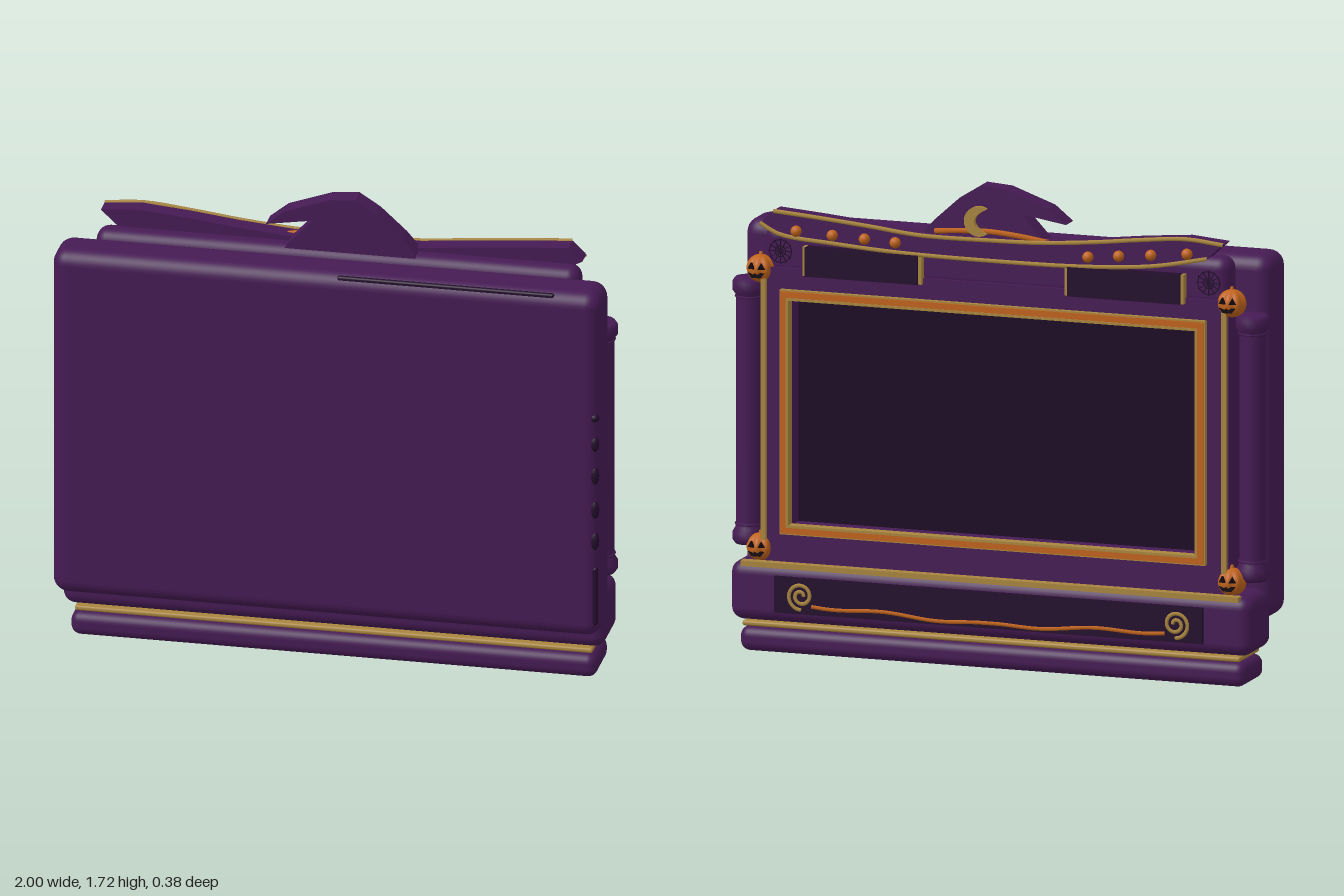
import * as THREE from 'three';
import { RoundedBoxGeometry } from 'three/addons/geometries/RoundedBoxGeometry.js';

const material = (name, color) => {
  const m = new THREE.MeshStandardMaterial({ color });
  m.name = name;
  return m;
};

export function createModel() {
  const group = new THREE.Group();
  const purple = material('purple', 0x461b54);
  const deep = material('deep purple', 0x230d2c);
  const dark = material('screen dark', 0x1b0823);
  const gold = material('gold', 0xa8853e);
  const orange = material('orange', 0xbf631b);
  const black = material('black', 0x100810);

  const add = (name, geo, mat, x = 0, y = 0, z = 0, parent = group) => {
    const mesh = new THREE.Mesh(geo, mat);
    mesh.name = name;
    mesh.position.set(x, y, z);
    parent.add(mesh);
    return mesh;
  };
  // Box given by its limits, rounded when r > 0
  const box = (name, mat, x0, x1, y0, y1, z0, z1, r = 0) => {
    const s = [x1 - x0, y1 - y0, z1 - z0];
    const geo = r ? new RoundedBoxGeometry(...s, 4, r) : new THREE.BoxGeometry(...s);
    return add(name, geo, mat, (x0 + x1) / 2, (y0 + y1) / 2, (z0 + z1) / 2);
  };
  const outline = (pts) => new THREE.Shape(pts.map(([x, y]) => new THREE.Vector2(x, y)));
  const extrude = (shape, depth) => new THREE.ExtrudeGeometry(shape, { depth, bevelEnabled: false, curveSegments: 16 });
  const rect = (w, y0, y1) => [[-w, y0], [w, y0], [w, y1], [-w, y1]];
  // Rectangular ring: outer half width and heights, band width t
  const ring = (name, mat, w, y0, y1, t, z0, z1) => {
    const s = outline(rect(w, y0, y1));
    s.holes.push(outline(rect(w - t, y0 + t, y1 - t)));
    return add(name, extrude(s, z1 - z0), mat, 0, 0, z0);
  };
  const tube = (name, mat, pts, r, seg = 48) => add(name, new THREE.TubeGeometry(
    new THREE.CatmullRomCurve3(pts.map((p) => new THREE.Vector3(...p))), seg, r, 6), mat);

  // Rear housing with dark slots along its edges
  box('housing', purple, -0.985, 0.985, 0.21, 1.52, 0.004, 0.19, 0.055);
  for (const [y, h] of [[0.58, 0.036], [0.7, 0.036], [0.83, 0.036], [0.95, 0.03], [1.05, 0.016]]) {
    add('sideSlot', new THREE.SphereGeometry(1, 16, 10), deep, 0.963, y, 0.17).scale.set(0.018, h, 0.016);
  }
  box('lowerSideSlot', deep, 0.95, 0.976, 0.26, 0.48, 0.16, 0.181, 0.009);
  box('topSlot', deep, 0.04, 0.82, 1.492, 1.512, 0.16, 0.179, 0.008);

  // Base
  box('baseFoot', purple, -0.945, 0.945, 0, 0.088, -0.157, 0.06, 0.035);
  box('baseTrim', gold, -0.93, 0.93, 0.093, 0.112, -0.16, 0.047, 0.008);
  box('baseBody', purple, -0.975, 0.975, 0.114, 0.326, -0.175, 0.057, 0.045);
  box('baseUpperTrim', gold, -0.93, 0.93, 0.311, 0.33, -0.177, -0.142);
  box('basePlaque', deep, -0.8, 0.8, 0.155, 0.285, -0.189, -0.17);

  // Scrolls and swag on the plaque
  for (const s of [-1, 1]) {
    const spiral = [];
    for (let i = 0; i <= 24; i++) {
      const a = i / 24 * Math.PI * 3.5;
      const r = 0.05 - 0.04 * i / 24;
      spiral.push([s * (0.7 + r * Math.cos(a - 1.6)), 0.22 + r * Math.sin(a - 1.6), -0.185]);
    }
    tube('scroll', gold, spiral, 0.008, 90);
  }
  const swag = [];
  for (let i = 0; i <= 24; i++) {
    const x = -0.66 + 1.32 * i / 24;
    swag.push([x, 0.168 + 0.03 * Math.abs(x) + 0.006 * Math.cos(x * 16), -0.185]);
  }
  tube('swag', orange, swag, 0.008, 80);

  // Cabinet front with recessed screen
  ring('cabinetFrame', purple, 0.875, 0.345, 1.38, 0.11, -0.12, 0.004);
  box('cabinetSill', purple, -0.875, 0.875, 0.31, 0.346, -0.12, 0.004);
  box('screen', dark, -0.79, 0.79, 0.42, 1.29, -0.03, 0);
  ring('screenFrame', orange, 0.79, 0.433, 1.302, 0.028, -0.152, -0.115);
  ring('screenOuterTrim', gold, 0.795, 0.428, 1.307, 0.01, -0.146, -0.128);
  ring('screenInnerTrim', gold, 0.768, 0.455, 1.28, 0.009, -0.156, -0.115);

  // Side columns and gold strips
  const column = [[0, 0.37], [0.05, 0.37], [0.06, 0.385], [0.06, 0.41], [0.049, 0.428], [0.047, 0.45],
    [0.047, 1.25], [0.049, 1.265], [0.06, 1.28], [0.06, 1.31], [0.05, 1.325], [0, 1.325]];
  for (const s of [-1, 1]) {
    add('column', new THREE.LatheGeometry(column.map((p) => new THREE.Vector2(...p)), 24), purple, s * 0.94, 0, -0.055);
    for (const y of [0.44, 1.258]) {
      add('columnRing', new THREE.TorusGeometry(0.048, 0.004, 6, 24), purple, s * 0.94, y, -0.055).rotation.x = Math.PI / 2;
    }
    box('sideStrip', gold, s * 0.86 - 0.009, s * 0.86 + 0.009, 0.38, 1.35, -0.135, -0.11);
  }

  // Carved pumpkins at the four corners
  const pumpkinGeo = new THREE.SphereGeometry(0.05, 48, 20);
  const pos = pumpkinGeo.attributes.position;
  for (let i = 0; i < pos.count; i++) {
    const [x, y, z] = [pos.getX(i), pos.getY(i), pos.getZ(i)];
    const k = 1 + 0.07 * Math.cos(8 * Math.atan2(z, x)) * Math.hypot(x, z) / 0.05;
    pos.setXYZ(i, x * k, y, z * k);
  }
  pumpkinGeo.computeVertexNormals();
  const eye = extrude(outline([[-0.013, -0.007], [0.013, -0.007], [0, 0.016]]), 0.009);
  const mouth = extrude(outline([[-0.03, 0.003], [-0.016, -0.014], [0.016, -0.014], [0.03, 0.003],
    [0.012, -0.004], [0.004, 0.003], [-0.004, -0.004], [-0.014, 0.003]]), 0.009);
  for (const s of [-1, 1]) for (const y of [0.37, 1.37]) {
    const p = new THREE.Group();
    p.name = 'pumpkin';
    p.position.set(s * 0.88, y, -0.102);
    group.add(p);
    add('pumpkinBody', pumpkinGeo, orange, 0, 0, 0, p);
    add('pumpkinStem', new THREE.CylinderGeometry(0.006, 0.009, 0.015, 8), orange, 0, 0.052, 0, p);
    for (const e of [-1, 1]) add('pumpkinEye', eye, black, e * 0.02, 0.012, -0.053, p).rotation.y = e * -0.35;
    add('pumpkinMouth', mouth, black, 0, -0.012, -0.055, p);
  }

  // Header beam with two plaques edged in gold
  box('headerBeam', purple, -0.87, 0.87, 1.345, 1.528, -0.108, -0.002, 0.045);
  for (const s of [-1, 1]) {
    box('headerPlaque', deep, s * 0.49 - 0.21, s * 0.49 + 0.21, 1.36, 1.465, -0.148, -0.1);
    for (const e of [-1, 1]) {
      const x = s * 0.49 + e * 0.215;
      box('plaqueEdge', gold, x - 0.007, x + 0.007, 1.36, 1.465, -0.138, -0.1);
    }
    // Small cobweb beside each plaque
    for (let i = 0; i < 6; i++) {
      const a = i * Math.PI / 6;
      add('webThread', new THREE.BoxGeometry(0.09, 0.003, 0.004), deep, s * 0.8, 1.44, -0.122).rotation.z = a;
    }
    for (const r of [0.02, 0.042]) {
      add('webRing', new THREE.TorusGeometry(r, 0.002, 4, 12), deep, s * 0.8, 1.44, -0.122);
    }
  }

  // Wavy ribbon with gold piping and studs
  const top = [[-0.86, 1.585], [-0.72, 1.597], [-0.55, 1.582], [-0.38, 1.562], [-0.18, 1.545], [0, 1.54],
    [0.28, 1.54], [0.45, 1.557], [0.65, 1.575], [0.82, 1.588]];
  const bottom = [[0.87, 1.54], [0.8, 1.505], [0.6, 1.485], [0.35, 1.47], [0, 1.465],
    [-0.35, 1.47], [-0.6, 1.49], [-0.8, 1.53]];
  add('ribbon', extrude(outline([...top, ...bottom].reverse()), 0.07), purple, 0, 0, -0.136);
  tube('ribbonTopPiping', gold, top.map(([x, y]) => [x, y - 0.002, -0.138]), 0.008);
  tube('ribbonBottomPiping', gold, bottom.map(([x, y]) => [x, y, -0.138]), 0.008);
  for (const s of [-1, 1]) for (const x of [0.36, 0.475, 0.595, 0.73]) {
    const slope = s > 0 ? 0.04 : 0.1;
    add('stud', new THREE.SphereGeometry(0.02, 14, 10), orange, s * x, 1.508 + slope * (x - 0.36), -0.154);
  }

  // Bent pointed hat with band and crescent
  add('hat', extrude(outline([[-0.257, 1.604], [-0.09, 1.631], [-0.18, 1.535], [-0.2, 1.5], [0.28, 1.5], [0.28, 1.535],
    [0.235, 1.588], [0.14, 1.674], [0.064, 1.722], [-0.03, 1.715], [-0.19, 1.658]]), 0.076), purple, 0, 0, -0.095);
  tube('hatBand', orange, [[-0.2, 1.537, -0.101], [-0.08, 1.556, -0.112], [0.03, 1.565, -0.117],
    [0.13, 1.56, -0.112], [0.23, 1.55, -0.101]], 0.01);
  const moon = new THREE.Shape();
  moon.absarc(0, 0, 0.054, Math.PI * 0.68, -Math.PI * 0.68, true);
  moon.quadraticCurveTo(0.06, 0, -0.029, 0.045);
  add('crescent', extrude(moon, 0.018), gold, 0.05, 1.605, -0.152);

  return group;
}
